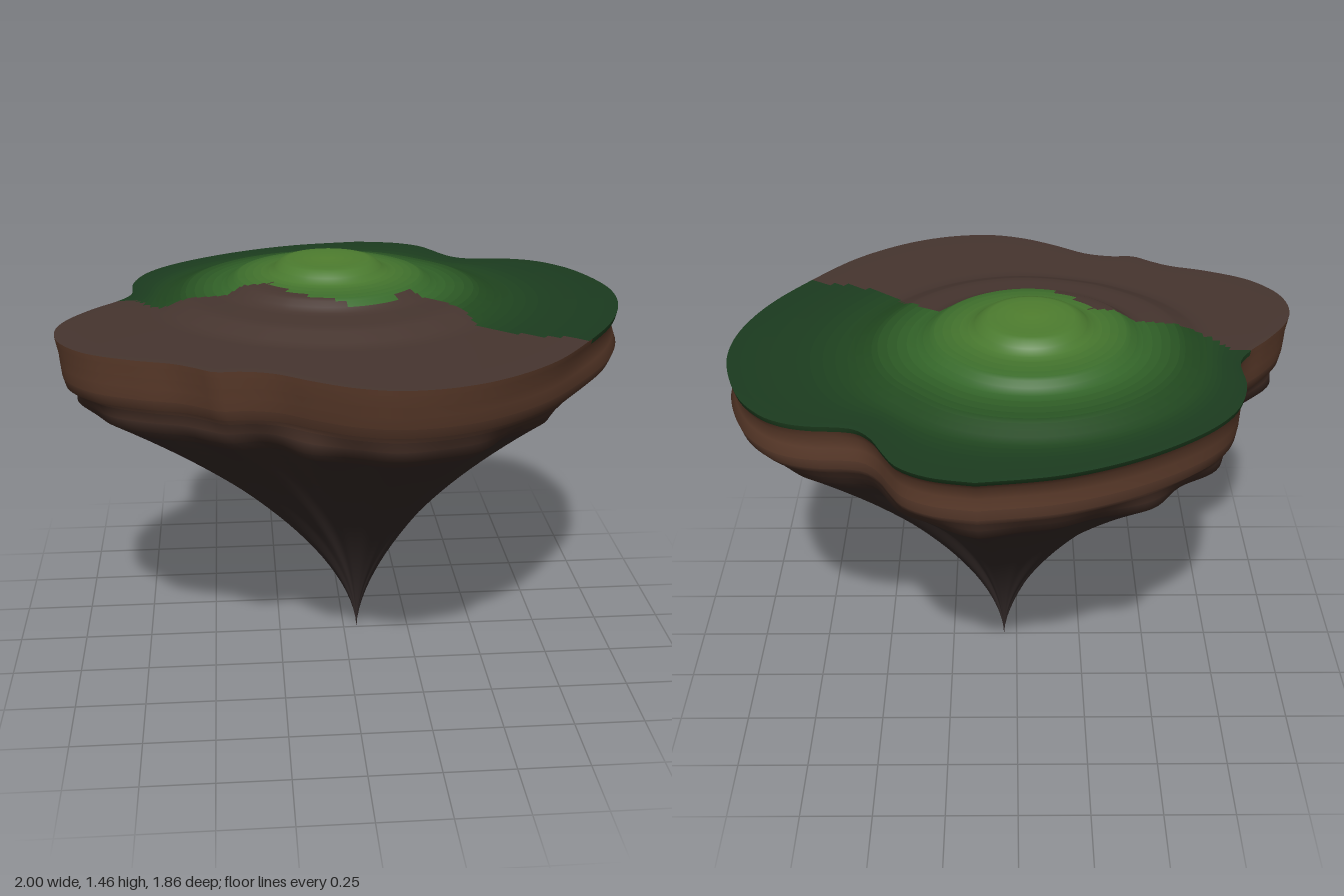
import * as THREE from 'three';

const N = 200; // points around the island
const V2 = (p) => new THREE.Vector2(p[0], p[1]);

// Shoreline as [x, z], clockwise seen from above
const shore = [
  [0.13, -0.93], [0.27, -0.9], [0.37, -0.84], [0.42, -0.76], [0.46, -0.68], [0.51, -0.625],
  [0.57, -0.607], [0.67, -0.6], [0.76, -0.575], [0.84, -0.52], [0.92, -0.41], [0.98, -0.24], [1.0, -0.08],
  [0.975, 0.1], [0.9, 0.295], [0.775, 0.495], [0.625, 0.69], [0.45, 0.83], [0.28, 0.905],
  [0.11, 0.925], [-0.03, 0.89], [-0.155, 0.82], [-0.27, 0.74], [-0.37, 0.71], [-0.46, 0.708],
  [-0.52, 0.665], [-0.6, 0.615], [-0.73, 0.57], [-0.88, 0.49], [-0.975, 0.37], [-1.0, 0.24],
  [-0.97, 0.12], [-0.89, -0.005], [-0.81, -0.1], [-0.765, -0.19], [-0.765, -0.35],
  [-0.71, -0.51], [-0.58, -0.655], [-0.37, -0.795], [-0.13, -0.89],
];
const outline = new THREE.SplineCurve([...shore, shore[0]].map(V2)).getSpacedPoints(N).slice(0, N);

// Front edge of the grass as [x, z]
const grassEdge = [
  [-1, -0.1], [-0.76, -0.1], [-0.65, 0.03], [-0.26, 0.04], [-0.24, 0.1], [-0.13, 0.2], [0.03, 0.26],
  [0.15, 0.21], [0.21, 0.11], [0.3, 0.13], [0.4, 0.22], [0.46, 0.34], [0.58, 0.42], [0.75, 0.47], [1.1, 0.47],
];
function isGrass(x, z) {
  const k = Math.max(1, grassEdge.findIndex((p) => p[0] >= x));
  const [a, b] = [grassEdge[k - 1], grassEdge[k]];
  return z < a[1] + ((b[1] - a[1]) * (x - a[0])) / (b[0] - a[0]);
}

// The shore sinks a little towards the back
const sink = (z) => 0.011 * Math.max(0, -z);

// Colour at t (0 to 1) along a list of evenly spaced stops
function ramp(stops, t) {
  const k = Math.min(stops.length - 2, Math.floor(t * (stops.length - 1)));
  return new THREE.Color(stops[k]).lerp(new THREE.Color(stops[k + 1]), t * (stops.length - 1) - k);
}

// Skin over closed rows of points; every face goes to the part named by classify(x, z, row).
// The parts share one set of smooth normals.
function skin(rows, classify, colors, group) {
  const P = rows.flat();
  const shared = new THREE.BufferGeometry().setFromPoints(P);
  const parts = {};
  const all = [];
  for (let j = 0; j < rows.length - 1; j++) {
    for (let i = 0; i < N; i++) {
      const a = j * N + i, b = j * N + ((i + 1) % N), c = a + N, d = b + N;
      const m = P[a].clone().add(P[b]).add(P[c]).add(P[d]).divideScalar(4);
      (parts[classify(m.x, m.z, j)] ??= []).push(a, b, c, b, d, c);
      all.push(a, b, c, b, d, c);
    }
  }
  shared.setIndex(all);
  shared.computeVertexNormals();
  for (const [name, index] of Object.entries(parts)) {
    const geo = new THREE.BufferGeometry();
    geo.setAttribute('position', shared.getAttribute('position'));
    geo.setAttribute('normal', shared.getAttribute('normal'));
    geo.setIndex(index);
    const mesh = new THREE.Mesh(geo, new THREE.MeshStandardMaterial({ color: colors[name] }));
    mesh.name = name;
    group.add(mesh);
  }
}

export function createModel() {
  const island = new THREE.Group();
  island.name = 'floatingIsland';

  // Terraced top: [radius, height] rings that end at the shoreline
  const hill = new THREE.Vector2(-0.05, -0.11);
  const terraces = [[0, 1.462], [0.15, 1.46], [0.17, 1.455], [0.215, 1.418], [0.33, 1.408], [0.345, 1.4], [0.39, 1.37],
    [0.52, 1.362], [0.54, 1.355], [0.62, 1.324], [0.87, 1.322], [0.9, 1.32]];
  const topRows = [];
  const topColors = { bareEarth: 0x46352f };
  terraces.forEach(([r, y], k) => {
    const [r0, y0] = terraces[Math.max(0, k - 1)];
    const steps = k === 0 ? 1 : Math.ceil((r - r0) / 0.035);
    for (let s = 1; s <= steps; s++) {
      const rad = r0 + ((r - r0) * s) / steps, h = y0 + ((y - y0) * s) / steps;
      // round near the summit, following the shoreline further out
      const follow = rad <= 0.62 ? 0.12 * (rad / 0.62) : 0.12 + (0.88 * (rad - 0.62)) / 0.28;
      // grass is light at the summit and dark at the shore
      topColors['grass' + topRows.length] = ramp([0x51802f, 0x4a7a2f, 0x35672a, 0x22491f, 0x1c3d1f, 0x1b3a1f], rad / 0.9);
      topRows.push(outline.map((p) => {
        const d = p.clone().sub(hill), len = d.length();
        d.multiplyScalar((rad * (1 - follow) + (rad / 0.9) * len * follow) / len).add(hill);
        return new THREE.Vector3(d.x, h - sink(d.y), d.y);
      }));
    }
  });
  skin(topRows, (x, z, j) => (isGrass(x, z) ? 'grass' + j : 'bareEarth'), topColors, island);

  // Cliff with an undercut ledge: height, then scale of the shoreline at left, front, right and back
  const levels = [
    [1.32, 1, 1, 1, 1], [1.3, 0.995, 0.995, 0.997, 0.988], [1.26, 0.975, 0.985, 0.99, 0.957],
    [1.22, 0.985, 0.972, 0.988, 0.952], [1.18, 1, 0.962, 0.985, 0.956], [1.145, 0.985, 0.947, 0.977, 0.958],
    [1.127, 0.965, 0.937, 0.947, 0.95], [1.09, 0.92, 0.933, 0.94, 0.925], [1.055, 0.892, 0.927, 0.933, 0.905],
  ];
  const CLIFF_ROWS = levels.length;
  // Hanging rock: a curve down to the tip
  for (let k = 1; k <= 26; k++) {
    const t = 1 - k / 26;
    levels.push([1.055 * t, ...levels[CLIFF_ROWS - 1].slice(1).map((s) => s * t ** 1.7)]);
  }
  const sideRows = levels.map(([y, left, front, right, back], j) => outline.map((p) => {
    const a = Math.atan2(p.y, p.x - 0.05), c = Math.cos(a), s = Math.sin(a);
    const scale = c * c * (c > 0 ? left : right) + s * s * (s > 0 ? front : back);
    // vertical ridges that fade in below the cliff, and a deeper undercut at the front left
    const rock = THREE.MathUtils.smoothstep(1.14 - y, 0, 0.1);
    const undercut = 0.035 * Math.max(0, c) * Math.max(0, s) * 2;
    const f = scale * (1 + rock * (0.018 * Math.sin(11 * a) + 0.014 * Math.sin(17 * a + 1) - 0.006 - undercut));
    return new THREE.Vector3(0.05 + (p.x - 0.05) * f, y - (j < 2 ? sink(p.y) : 0), p.y * f);
  }));
  const sideColors = { shoreGrass: 0x1f4020 };
  levels.forEach(([y], j) => {
    if (j < CLIFF_ROWS) sideColors['cliff' + j] = ramp([0x5d3c2b, 0x5a3a2a, 0x452f26, 0x352824], j / CLIFF_ROWS);
    else sideColors['rock' + j] = ramp([0x342b2b, 0x352b29, 0x382b27], y / 1.055);
  });
  skin(sideRows, (x, z, j) => {
    if (j === 0 && isGrass(x, z)) return 'shoreGrass';
    return (j < CLIFF_ROWS ? 'cliff' : 'rock') + j;
  }, sideColors, island);

  return island;
}
